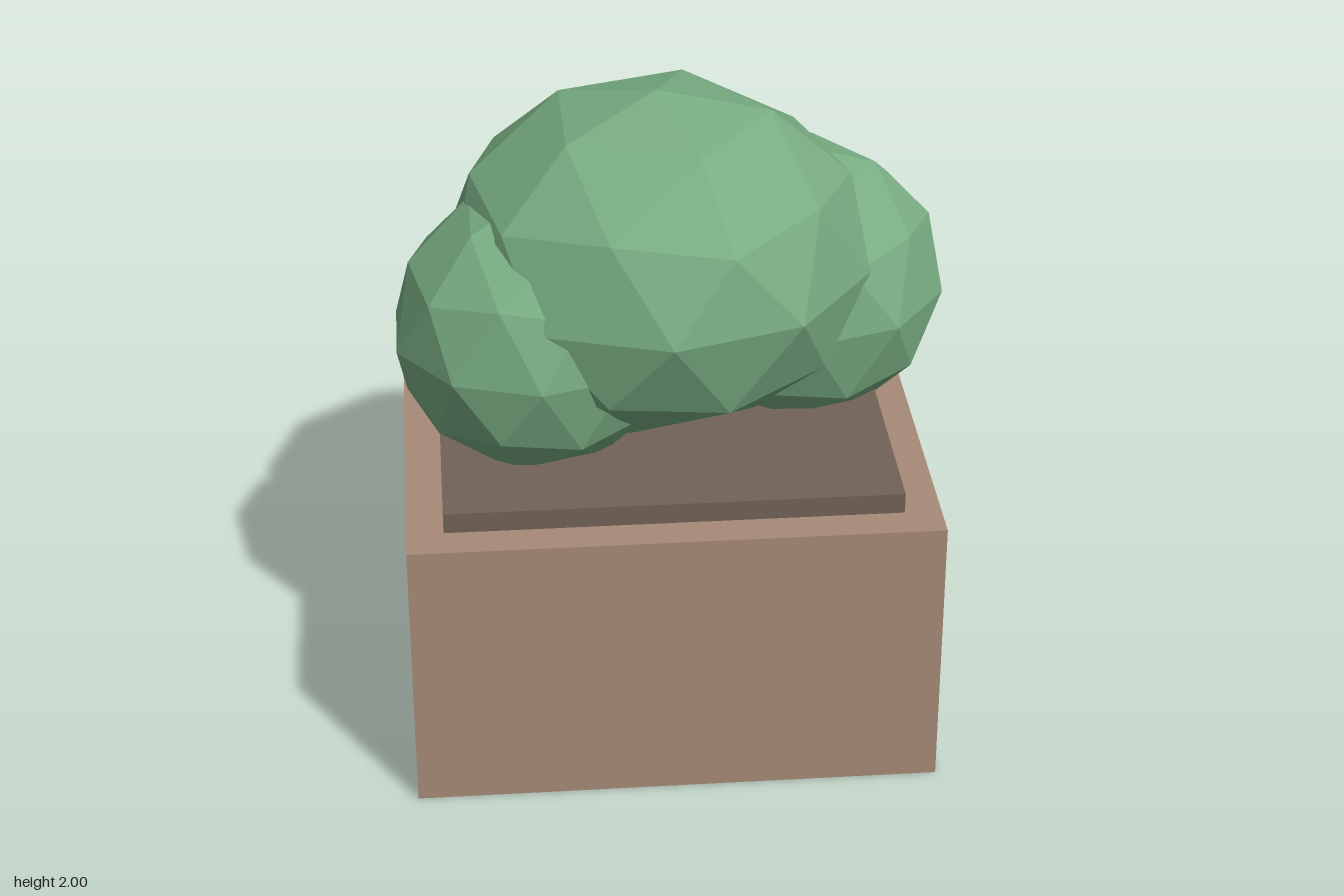
import * as THREE from 'three';

const mat = (name, color, flatShading = false) => {
  const m = new THREE.MeshStandardMaterial({ color, flatShading });
  m.name = name;
  return m;
};

export function createModel() {
  const group = new THREE.Group();
  group.name = 'boxPlanter';
  const clay = mat('clay', 0xa88a78);
  const earth = mat('earth', 0x726256);
  const leaf = mat('leaf', 0x78ac82, true);

  const add = (name, geometry, material, x, y, z) => {
    const mesh = new THREE.Mesh(geometry, material);
    mesh.name = name;
    mesh.position.set(x, y, z);
    group.add(mesh);
    return mesh;
  };

  // Square planter with a slab of soil on top
  add('planterBox', new THREE.BoxGeometry(1.614, 0.89, 1.614), clay, -0.05, 0.445, 0);
  add('soil', new THREE.BoxGeometry(1.39, 0.14, 1.39), earth, -0.05, 0.885, 0);

  // Faceted bushes: an 80-sided ball turned so that one corner points straight up
  const ball = new THREE.IcosahedronGeometry(1, 1);
  ball.rotateZ(-Math.atan(2 / (1 + Math.sqrt(5))));
  const bushes = [
    ['middleBush', -0.05, 1.46, 0, 0.675, 0.54],
    ['leftBush', 0.403, 1.266, -0.168, 0.48, 0.459],
    ['rightBush', -0.437, 1.295, 0.162, 0.45, 0.45],
  ];
  for (const [name, x, y, z, radius, height] of bushes) {
    add(name, ball, leaf, x, y, z).scale.set(radius, height, radius);
  }
  return group;
}
